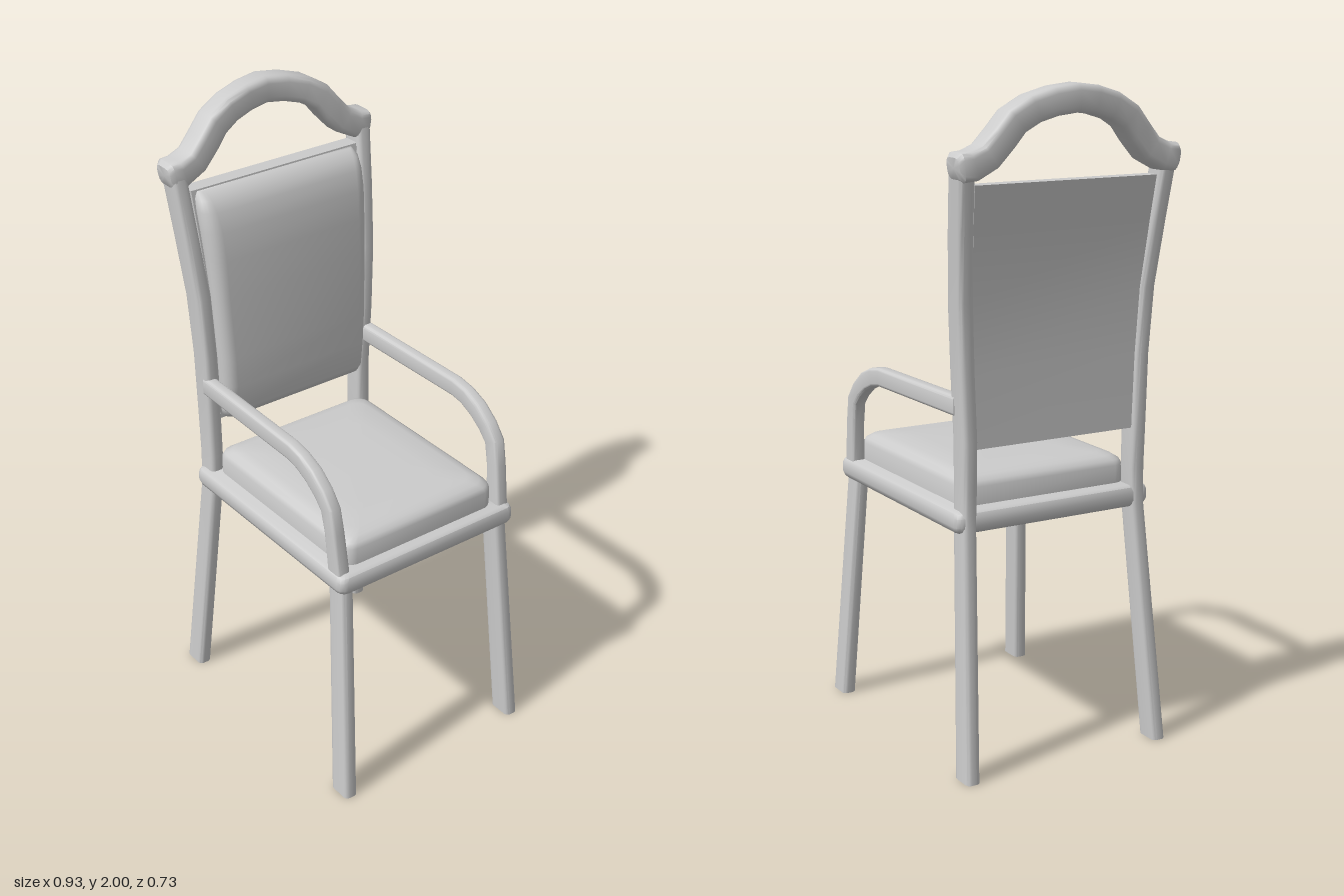
import * as THREE from 'three';
import { toCreasedNormals } from 'three/addons/utils/BufferGeometryUtils.js';

const V = (x, y, z) => new THREE.Vector3(x, y, z);
const X = V(1, 0, 0), Y = V(0, 1, 0), Z = V(0, 0, 1);
const material = new THREE.MeshStandardMaterial({ color: 0xcccccc });

// Rounded rectangle in the plane of u and v, counter-clockwise
function ring(c, u, v, a, b, radius, steps) {
  const r = Math.min(radius, a * 0.98, b * 0.98), pts = [];
  [[1, 1], [-1, 1], [-1, -1], [1, -1]].forEach(([su, sv], k) => {
    for (let i = 0; i <= steps; i++) {
      const t = (k + i / steps) * Math.PI / 2;
      pts.push(c.clone()
        .addScaledVector(u, su * (a - r) + r * Math.cos(t))
        .addScaledVector(v, sv * (b - r) + r * Math.sin(t)));
    }
  });
  return pts;
}

// Sweep through stations [x, y, z, half width along axis, half width across].
// With level = true every section stays horizontal.
function sweep(name, stations, axis, { radius = 0.014, steps = 3, level = false, crease = 0.6, shape } = {}) {
  const centres = stations.map(s => V(s[0], s[1], s[2])), last = centres.length - 1;
  const rings = stations.map((s, i) => {
    const t = level ? Y : centres[Math.min(i + 1, last)].clone().sub(centres[Math.max(i - 1, 0)]).normalize();
    const v = t.clone().cross(axis).normalize();
    return ring(centres[i], axis, v, s[3], s[4], radius, steps);
  });
  if (shape) rings.flat().forEach(shape);
  const n = rings[0].length, pos = [];
  const tri = (...p) => p.forEach(q => pos.push(q.x, q.y, q.z));
  for (let i = 0; i < n; i++) {
    const j = (i + 1) % n;
    for (let k = 0; k < last; k++) {
      const a = rings[k], b = rings[k + 1];
      tri(a[i], a[j], b[j]);
      tri(a[i], b[j], b[i]);
    }
    tri(centres[0], rings[0][j], rings[0][i]);
    tri(centres[last], rings[last][i], rings[last][j]);
  }
  const g = new THREE.BufferGeometry();
  g.setAttribute('position', new THREE.Float32BufferAttribute(pos, 3));
  const mesh = new THREE.Mesh(toCreasedNormals(g, crease), material);
  mesh.name = name;
  return mesh;
}

export function createModel() {
  const chair = new THREE.Group();
  chair.name = 'armchair';

  for (const s of [1, -1]) {
    const side = s > 0 ? 'left' : 'right';

    // Splayed front leg
    chair.add(sweep(side + 'FrontLeg', [
      [0.423, 0, s * 0.327, 0.022, 0.04],
      [0.36, 0.76, s * 0.292, 0.022, 0.036],
    ], Z, { level: true }));

    // Rear leg running on into the curved back post
    chair.add(sweep(side + 'BackPost', [
      [-0.40, 0, s * 0.327, 0.022, 0.04],
      [-0.324, 0.74, s * 0.29, 0.022, 0.036],
      [-0.323, 0.85, s * 0.288, 0.023, 0.036],
      [-0.326, 1.0, s * 0.289, 0.023, 0.038],
      [-0.323, 1.2, s * 0.296, 0.023, 0.039],
      [-0.331, 1.4, s * 0.306, 0.024, 0.039],
      [-0.36, 1.6, s * 0.321, 0.024, 0.039],
      [-0.392, 1.79, s * 0.334, 0.025, 0.038],
    ], Z, { level: true }));

    // Arm bending down to the seat frame
    chair.add(sweep(side + 'Arm', [
      [-0.31, 1.1, s * 0.299, 0.019, 0.03],
      [0.15, 1.099, s * 0.307, 0.02, 0.029],
      [0.2, 1.09, s * 0.308, 0.02, 0.029],
      [0.252, 1.068, s * 0.308, 0.021, 0.029],
      [0.3, 1.032, s * 0.308, 0.021, 0.028],
      [0.334, 0.992, s * 0.308, 0.021, 0.027],
      [0.349, 0.92, s * 0.306, 0.021, 0.026],
      [0.365, 0.78, s * 0.302, 0.021, 0.03],
    ], Z, { radius: 0.01 }));
  }

  // Arched top rail with shouldered ends
  const half = [
    [-0.396, 1.779, 0.362, 0.036, 0.03],
    [-0.396, 1.781, 0.35, 0.045, 0.041],
    [-0.396, 1.784, 0.315, 0.045, 0.042],
    [-0.397, 1.808, 0.265, 0.044, 0.041],
    [-0.401, 1.855, 0.222, 0.044, 0.041],
    [-0.405, 1.9, 0.185, 0.044, 0.041],
    [-0.411, 1.932, 0.13, 0.043, 0.041],
    [-0.418, 1.951, 0.065, 0.042, 0.041],
  ];
  const rail = [...half, [-0.424, 1.959, 0, 0.042, 0.041],
    ...half.map(([x, y, z, a, b]) => [x, y, -z, a, b]).reverse()];
  chair.add(sweep('topRail', rail, X, { radius: 0.02, crease: 0.8 }));

  // Upholstered back: thin rear panel and padded front
  chair.add(sweep('backPanel', [
    [-0.323, 0.975, 0, 0.268, 0.025],
    [-0.323, 1.2, 0, 0.276, 0.025],
    [-0.331, 1.4, 0, 0.285, 0.025],
    [-0.358, 1.6, 0, 0.296, 0.025],
    [-0.379, 1.73, 0, 0.303, 0.025],
  ], Z, { level: true, radius: 0.003, steps: 1 }));

  const pad = [ // height, front x, rear x, half width
    [0.978, -0.29, -0.325, 0.245], [0.985, -0.268, -0.325, 0.258], [1.01, -0.253, -0.325, 0.264],
    [1.1, -0.247, -0.325, 0.268], [1.2, -0.246, -0.325, 0.272], [1.4, -0.256, -0.335, 0.28],
    [1.52, -0.263, -0.35, 0.286], [1.61, -0.273, -0.362, 0.291], [1.67, -0.29, -0.372, 0.293],
    [1.705, -0.31, -0.378, 0.291], [1.725, -0.342, -0.382, 0.282],
  ].map(([y, f, r, w]) => [(f + r) / 2, y, 0, w, (f - r) / 2]);
  chair.add(sweep('backCushion', pad, Z, { level: true, radius: 0.05, steps: 5, crease: 0.9 }));

  // Seat frame with softened edges
  chair.add(sweep('seatFrame', [
    [0.03, 0.73, 0, 0.318, 0.372],
    [0.03, 0.737, 0, 0.326, 0.381],
    [0.03, 0.75, 0, 0.331, 0.386],
    [0.03, 0.777, 0, 0.331, 0.386],
    [0.03, 0.79, 0, 0.326, 0.381],
    [0.03, 0.796, 0, 0.316, 0.37],
  ], Z, { level: true, radius: 0.025, crease: 0.7 }));

  // Seat cushion, bowed a little at the front
  chair.add(sweep('seatCushion', [
    [0.035, 0.785, 0, 0.284, 0.335],
    [0.035, 0.85, 0, 0.284, 0.335],
    [0.035, 0.865, 0, 0.278, 0.328],
    [0.035, 0.877, 0, 0.262, 0.31],
    [0.035, 0.885, 0, 0.235, 0.28],
    [0.035, 0.888, 0, 0.15, 0.18],
  ], Z, {
    level: true, radius: 0.04, steps: 4, crease: 0.9,
    shape: p => { if (p.x > 0.1) p.x += 0.02 * (1 - (p.z / 0.284) ** 2); },
  }));

  return chair;
}
